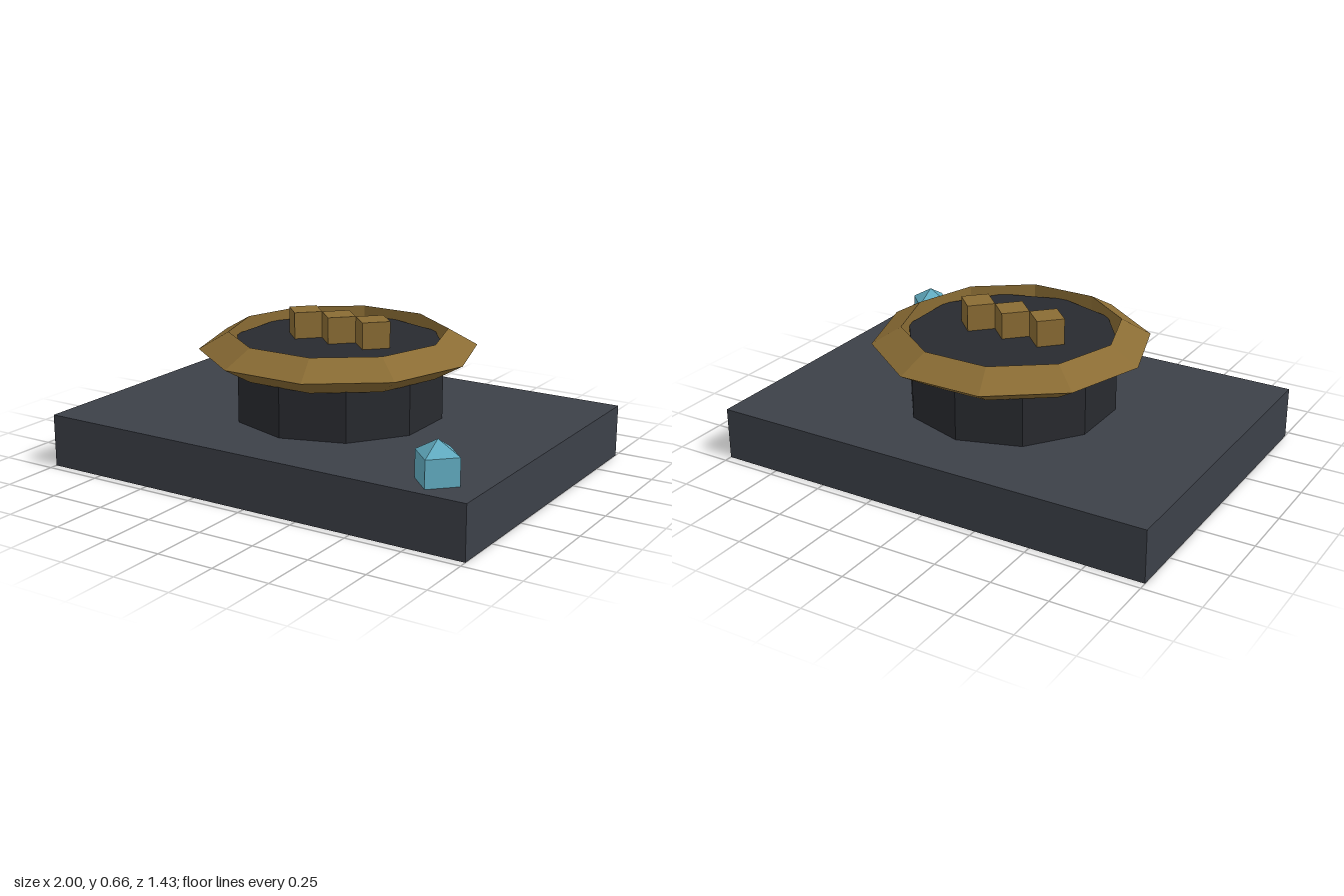
import * as THREE from 'three';

const paint = (color) => new THREE.MeshStandardMaterial({ color, flatShading: true });

export function createModel() {
  const model = new THREE.Group();
  const slate = paint(0x3c4048);
  const charcoal = paint(0x282a2f);
  const bronze = paint(0x8a6c34);
  const cyan = paint(0x62adc2);

  const add = (parent, name, geometry, material, x, y, z) => {
    const mesh = new THREE.Mesh(geometry, material);
    mesh.name = name;
    mesh.position.set(x, y, z);
    parent.add(mesh);
    return mesh;
  };

  // Rectangular slab
  add(model, 'base', new THREE.BoxGeometry(2, 0.23, 1.428), slate, 0, 0.115, 0);

  // Ten-sided drum
  add(model, 'drum', new THREE.CylinderGeometry(0.456, 0.456, 0.315, 10), charcoal, 0, 0.3875, 0);

  // Ring of triangular section, its sharp edge outwards
  const ring = new THREE.TorusGeometry(0.514, 0.085, 3, 10).rotateX(-Math.PI / 2);
  add(model, 'rimRing', ring, bronze, 0, 0.516, 0);

  // Row of three square studs, set cornerwise
  const studs = new THREE.Group();
  studs.name = 'studs';
  model.add(studs);
  for (const x of [-0.17, 0, 0.17]) {
    add(studs, 'stud', new THREE.CylinderGeometry(0.085, 0.085, 0.12, 4), bronze, x, 0.6, 0);
  }

  // Small pointed crystal at the front corner
  const crystal = new THREE.Group();
  crystal.name = 'crystal';
  crystal.position.set(0.8, 0.23, 0.571);
  model.add(crystal);
  add(crystal, 'crystalBody', new THREE.CylinderGeometry(0.098, 0.098, 0.115, 4), cyan, 0, 0.0575, 0);
  add(crystal, 'crystalTip', new THREE.ConeGeometry(0.098, 0.057, 4, 1, true), cyan, 0, 0.1435, 0);

  return model;
}
